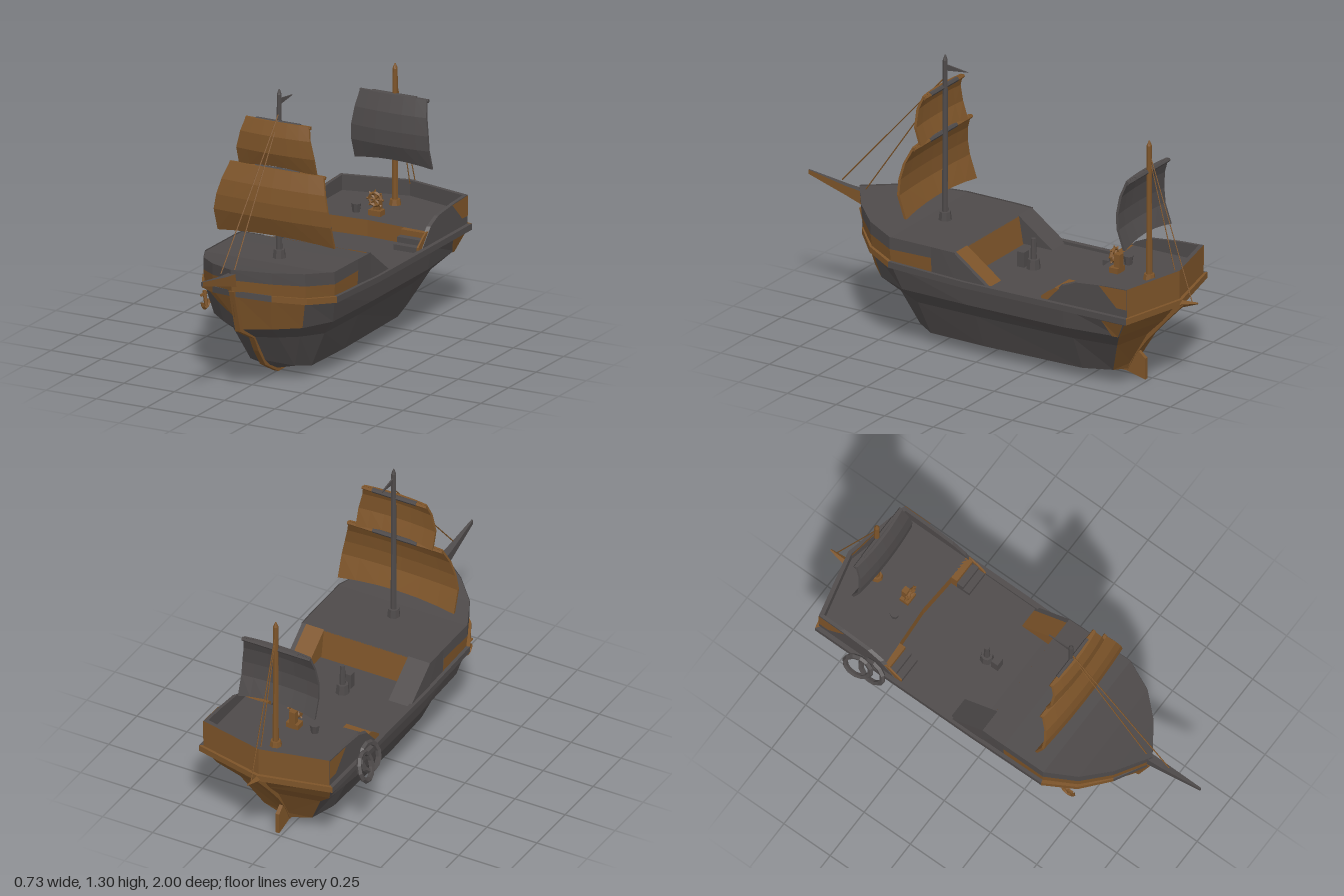
import * as THREE from 'three';

const mat = (name, color) => Object.assign(new THREE.MeshStandardMaterial({ color, side: THREE.DoubleSide }), { name });

export function createModel() {
  const model = new THREE.Group();
  model.name = 'sailingShip';
  const gray = mat('weatheredGray', 0x4e4a4a);
  const brown = mat('woodBrown', 0x7d5429);

  const add = (name, geo, material) => {
    const g = geo.index ? geo.toNonIndexed() : geo;
    g.computeVertexNormals();
    const mesh = new THREE.Mesh(g, material);
    mesh.name = name;
    model.add(mesh);
    return mesh;
  };

  // Flat-shaded skin over rows of [x, y, z] points, mirrored across x
  const skin = (name, material, rows, sides = [1, -1]) => {
    const pos = [];
    for (const s of sides) {
      for (let i = 0; i < rows.length - 1; i++) {
        for (let j = 0; j < rows[i].length - 1; j++) {
          const q = [rows[i][j], rows[i][j + 1], rows[i + 1][j + 1], rows[i + 1][j]];
          const order = s > 0 ? [0, 1, 2, 0, 2, 3] : [0, 2, 1, 0, 3, 2];
          for (const k of order) pos.push(q[k][0] * s, q[k][1], q[k][2]);
        }
      }
    }
    const g = new THREE.BufferGeometry();
    g.setAttribute('position', new THREE.Float32BufferAttribute(pos, 3));
    return add(name, g, material);
  };

  // Plate cut from a [z, y] outline, with its thickness along x
  const plate = (name, material, pts, width, x = 0) => {
    const shape = new THREE.Shape(pts.map(([z, y]) => new THREE.Vector2(z, y)));
    const g = new THREE.ExtrudeGeometry(shape, { depth: width, bevelEnabled: false });
    g.translate(0, 0, -width / 2).rotateY(-Math.PI / 2).translate(x, 0, 0);
    return add(name, g, material);
  };

  // Tapered bar between two points
  const rod = (name, material, a, b, r1, r2 = r1, sides = 8) => {
    const from = new THREE.Vector3(...a), dir = new THREE.Vector3(...b).sub(from);
    const g = new THREE.CylinderGeometry(r2, r1, dir.length(), sides);
    g.translate(0, dir.length() / 2, 0);
    const mesh = add(name, g, material);
    mesh.position.copy(from);
    mesh.quaternion.setFromUnitVectors(new THREE.Vector3(0, 1, 0), dir.normalize());
    return mesh;
  };

  const box = (name, material, w, h, d, x, y, z) =>
    add(name, new THREE.BoxGeometry(w, h, d).translate(x, y, z), material);

  // Hull: long lines from stern to stem, keel upwards
  const keelLine = [[0, .035, -.65], [0, .03, -.5], [0, .03, 0], [0, .03, .28], [0, .037, .34], [0, .07, .41], [0, .11, .46]];
  const bilge = [[.12, .065, -.64], [.15, .055, -.5], [.16, .055, 0], [.15, .055, .28], [.11, .07, .36], [.06, .09, .41], [0, .11, .46]];
  const chine = [[.2, .22, -.71], [.225, .22, -.5], [.23, .22, 0], [.225, .22, .3], [.17, .23, .42], [.1, .235, .49], [0, .24, .55]];
  const wale = [[.28, .3, -.77], [.3, .295, -.5], [.3, .295, 0], [.29, .295, .34], [.22, .297, .49], [.12, .302, .585], [0, .305, .66]];
  const sheer = [[.32, .4, -.83], [.32, .4, -.5], [.32, .4, 0], [.32, .415, .38], [.25, .433, .52], [.14, .46, .63], [0, .49, .72]];
  skin('bottomLeft', brown, [keelLine.slice(0, 5), bilge.slice(0, 5)], [1]);
  skin('bottomRight', gray, [keelLine.slice(0, 5), bilge.slice(0, 5)], [-1]);
  skin('forefoot', gray, [keelLine.slice(4), bilge.slice(4)]);
  skin('lowerHull', gray, [bilge, chine, wale]);
  skin('upperHull', gray, [wale.slice(0, 5), sheer.slice(0, 5)]);
  skin('bowPlankingLeft', brown, [wale.slice(4), sheer.slice(4)], [1]);
  skin('bowPlankingRight', gray, [wale.slice(4), sheer.slice(4)], [-1]);
  skin('bowPatchRight', brown, [
    [[.2, .437, .583], [.14, .452, .637], [0, .48, .728]],
    [[.2, .437, .583], [.125, .405, .627], [0, .37, .7]]], [-1]);
  skin('sternPatchLeft', brown, [
    [[.315, .375, -.7], [.315, .375, -.81]], [[.29, .3, -.74], [.286, .3, -.768]]], [1]);
  skin('transom', brown, [
    [[0, .035, -.65], keelLine[0]], [[0, .065, -.66], bilge[0]], [[0, .22, -.75], chine[0]],
    [[0, .3, -.83], wale[0]], [[0, .4, -.91], sheer[0]],
  ]);
  skin('mainDeck', gray, [sheer.slice(0, 4), sheer.slice(0, 4).map(([, y, z]) => [0, y, z])]);

  // Rail around the hull
  const railPath = [[0, .4, -.91], ...sheer];
  const railRow = (k, dy) => railPath.map(([x, y, z]) => [x * k, y + dy, z * (1 + (k - 1) * .25)]);
  const rail = [railRow(.97, -.014), railRow(1.045, -.014), railRow(1.045, .014), railRow(.97, .014)];
  rail.push(rail[0]);
  skin('sternRail', brown, rail.map(r => r.slice(0, 2)));
  skin('sideRail', gray, rail.map(r => r.slice(1, 5)));
  skin('bowRail', brown, rail.map(r => r.slice(4, 7)));
  skin('stemRail', gray, rail.map(r => r.slice(6)));

  // Keel, stem and sternpost in one curved timber
  const spine = [[-.935, .395], [-.83, .285], [-.75, .195], [-.68, .1], [-.645, .028], [.33, .022], [.45, .085],
    [.51, .165], [.55, .235], [.675, .3], [.735, .5]];
  const inner = spine.map(([z, y]) => [z * .94, y + (.45 - y) * .06]).reverse();
  plate('keel', brown, [...spine, ...inner], .026);
  plate('rudder', brown, [[-.6, .035], [-.735, .002], [-.735, .1], [-.7, .13], [-.66, .12]], .018);
  rod('sternSpike', brown, [0, .39, -.9], [0, .412, -1], .02, .004, 4);

  // Raised stern: bulwarks, deck, front wall and steps
  const sternPlan = [[0, -.905, .545], [.315, -.832, .545], [.315, -.72, .54], [.315, -.57, .525], [.315, -.5, .495], [.315, -.42, .41]];
  const sternRow = (k, top) => sternPlan.map(([x, z, y]) => [x * k, top ? y : .405, z * (1 + (k - 1) * .4)]);
  const outerLow = sternRow(1, false), outerTop = sternRow(1, true), innerTop = sternRow(.95, true), innerLow = sternRow(.95, false);
  skin('sternBulwark', brown, [outerLow.slice(0, 2), outerTop.slice(0, 2)]);
  skin('sternSideBulwark', gray, [outerLow.slice(1), outerTop.slice(1)]);
  skin('sternBulwarkPanel', brown, [
    [[.318, .543, -.832], [.318, .537, -.69]], [[.318, .45, -.832], [.318, .45, -.78]]]);
  skin('sternBulwarkCap', gray, [outerTop, innerTop]);
  skin('sternBulwarkLining', gray, [innerTop, innerLow]);
  const sternDeck = [[0, .475, -.89], [.305, .475, -.82], [.305, .475, -.48]];
  skin('sternDeck', gray, [sternDeck, [[0, .475, -.89], [0, .475, -.82], [0, .475, -.5]]]);
  skin('sternDeckWall', brown, [[[0, .475, -.5], [.305, .475, -.48]], [[0, .4, -.5], [.305, .4, -.48]]]);
  const stringer = [[-.39, .405], [-.39, .426], [-.42, .45], [-.46, .476], [-.49, .476], [-.49, .405]];
  for (const s of [1, -1]) {
    for (let i = 0; i < 3; i++) {
      const h = .025 * (i + 1);
      box('sternStep', i === 2 ? brown : gray, .115, h, .034, s * .247, .4 + h / 2, -.407 - i * .033);
    }
    plate('stepStringer', brown, stringer, .008, s * .309);
  }

  // Raised bow: bulwark strips, deck, back wall and ramps
  const bowLow = [[.318, .418, .17], [.318, .428, .38], [.25, .446, .52], [.145, .472, .63], [0, .5, .73]];
  const bowMidY = [.487, .484, .503, .527, .553], bowTopY = [.538, .54, .56, .58, .602];
  const bowMid = bowLow.map(([x, , z], i) => [x * 1.015, bowMidY[i], z * 1.01]);
  const bowTop = bowLow.map(([x, , z], i) => [x * 1.01, bowTopY[i], z * 1.015]);
  skin('bowStrake', brown, [bowLow, bowMid]);
  skin('bowBulwark', gray, [bowMid, bowTop]);
  skin('bowSideBulwark', gray, [[[.318, .41, .05], bowLow[0], bowMid[0]], [[.32, .535, .05], [.322, .537, .12], bowTop[0]]]);
  const deckEdge = [[.32, .535, .05], ...bowTop].map(([x, y, z]) => [x, y - .006, z]);
  skin('bowDeck', gray, [deckEdge, deckEdge.map(([, y, z]) => [0, y, z])]);
  skin('bowDeckWall', brown, [[[0, .53, .052], [.3, .53, .052]], [[0, .4, .03], [.3, .4, .03]]]);
  const wedge = [[-.12, .405], [.055, .405], [.055, .533]];
  plate('rampLeft', brown, wedge, .09, .255);
  plate('rampRight', gray, wedge, .09, -.255);
  for (const s of [1, -1]) plate('rampSide', gray, wedge, .02, s * .31);

  // Bowsprit: slim tapering spar, its left face and underside in wood
  const sprit = [[.02, .5, .575, .66], [.015, .545, .588, .8], [.004, .6, .62, 1]];
  const spritTop = sprit.map(([w, , y, z]) => [w, y, z]), spritLow = sprit.map(([w, y, , z]) => [w, y, z]);
  const toCentre = row => row.map(([, y, z]) => [0, y, z]);
  skin('bowspritTop', gray, [spritTop, toCentre(spritTop)]);
  skin('bowspritLeft', brown, [spritTop, spritLow], [1]);
  skin('bowspritRight', gray, [spritTop, spritLow], [-1]);
  skin('bowspritUnderside', brown, [spritLow, toCentre(spritLow)]);
  skin('bowspritTip', gray, [[spritTop[2], spritLow[2]], [[0, .62, 1], [0, .6, 1]]]);

  // Masts with collars, and the flag
  rod('foreMast', gray, [0, .53, .3], [0, 1.28, .3], .014, .011);
  rod('foreMastTip', gray, [0, 1.28, .3], [0, 1.305, .3], .011, .003);
  rod('foreMastCollar', gray, [0, .53, .3], [0, .572, .3], .03, .025);
  rod('rearMast', brown, [0, .47, -.75], [0, 1.1, -.75], .014, .012);
  rod('rearMastTip', brown, [0, 1.1, -.75], [0, 1.122, -.75], .012, .003);
  rod('rearMastCollar', brown, [0, .475, -.75], [0, .5, -.75], .028, .023);
  plate('flag', gray, [[.3, 1.262], [.3, 1.232], [.18, 1.246]], .006);

  // Billowed sails from [y, half width, z] rows, top to bottom, each on a spar with a gray middle
  const sail = (name, material, profile) => {
    const row = ([y, w, z], i, dz) => [0, .35, .7, 1].map(u =>
      [u * w, y + (i === profile.length - 1 ? .02 * (1 - u * u) : 0), z - .012 * u * u - dz]);
    const front = profile.map((p, i) => row(p, i, 0)), back = profile.map((p, i) => row(p, i, .012));
    skin(name, material, [...front, ...back.slice().reverse(), front[0]]);
    skin(name + 'Edge', material, [front.map(r => r[3]), back.map(r => r[3])]);
    const [y, w, z] = profile[0];
    rod(name + 'Spar', material, [-w - .005, y - .009, z - .022], [w + .005, y - .009, z - .022], .009, .009, 6);
    rod(name + 'SparMiddle', gray, [-.11, y - .007, z - .022], [.11, y - .007, z - .022], .011, .011, 6);
  };
  sail('lowerForeSail', brown, [[.945, .232, .335], [.87, .257, .368], [.8, .276, .38], [.73, .29, .378], [.625, .29, .342]]);
  sail('upperForeSail', brown, [[1.16, .156, .33], [1.1, .172, .352], [1.02, .192, .352], [.936, .192, .325]]);
  sail('rearSail', gray, [[.985, .165, -.722], [.91, .178, -.695], [.83, .19, -.685], [.76, .192, -.69], [.668, .192, -.722]]);

  // Stay ropes
  for (const [a, b] of [
    [[0, 1.2, .3], [0, .608, .83]], [[0, 1.18, .3], [0, .585, .71]],
    [[0, 1.07, -.75], [0, .415, -.97]], [[0, 1.05, -.75], [0, .53, -.885]],
  ]) rod('stayRope', brown, a, b, .0028, .0028, 4);

  // Deck fittings: stump with block, bucket and steering wheel
  rod('stumpBase', gray, [0, .4, -.155], [0, .445, -.155], .032, .026);
  rod('stump', gray, [0, .44, -.155], [0, .54, -.155], .015, .011);
  box('stumpBlock', gray, .04, .07, .035, 0, .435, -.1);
  rod('bucket', gray, [-.1, .475, -.58], [-.1, .515, -.58], .017, .023);
  box('wheelBase', brown, .06, .025, .045, 0, .487, -.583);
  box('wheelStand', brown, .03, .085, .03, 0, .517, -.592);
  add('wheelRim', new THREE.TorusGeometry(.03, .008, 4, 8).translate(0, .55, -.57), brown);
  for (let i = 0; i < 4; i++) {
    const c = Math.cos(i * Math.PI / 4) * .042, s = Math.sin(i * Math.PI / 4) * .042;
    rod('wheelSpoke', brown, [-c, .55 - s, -.57], [c, .55 + s, -.57], .005, .005, 4);
  }

  // Rope coils hanging outside the right-hand side
  for (const [x, y, z, yaw] of [[-.358, .385, -.59, .15], [-.344, .395, -.525, -.1]]) {
    const coil = add('ropeCoil', new THREE.TorusGeometry(.063, .013, 5, 12), gray);
    coil.position.set(x, y, z);
    coil.rotation.set(0, Math.PI / 2 + yaw, -.3, 'ZYX');
  }

  // Small anchor on the right bow
  rod('anchorShank', brown, [-.262, .315, .48], [-.274, .39, .48], .009, .009, 5);
  rod('anchorStock', brown, [-.273, .375, .45], [-.273, .375, .51], .007, .007, 5);
  const fluke = add('anchorArms', new THREE.TorusGeometry(.03, .009, 4, 6, Math.PI), brown);
  fluke.position.set(-.267, .342, .48);
  fluke.rotation.set(Math.PI, Math.PI / 2, 0);

  // The hull sits slightly to the left so the coils balance the width
  for (const part of model.children) part.position.x += .025;
  return model;
}
